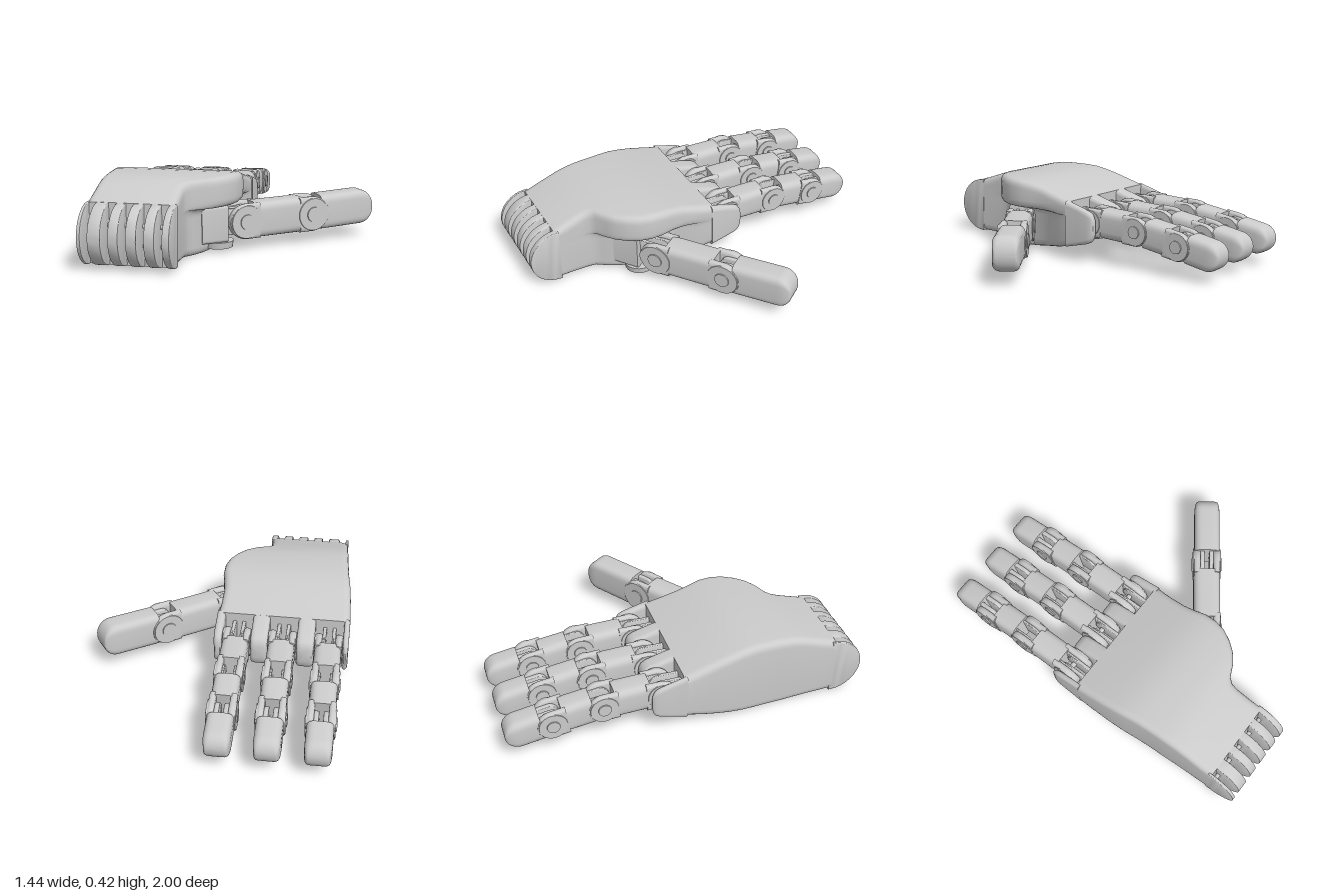
import * as THREE from 'three';
import { toCreasedNormals } from 'three/addons/utils/BufferGeometryUtils.js';

const grey = new THREE.MeshStandardMaterial({ color: 0xcccccc });

function add(parent, name, geometry) {
  const mesh = new THREE.Mesh(geometry, grey);
  mesh.name = name;
  parent.add(mesh);
  return mesh;
}

// Closed outline with every corner rounded off, same point count for any size
function rounded(corners, r) {
  const pts = [], n = corners.length, steps = 5;
  const v = corners.map(([x, y]) => new THREE.Vector2(x, y));
  for (let i = 0; i < n; i++) {
    const p = v[i], a = v[(i + n - 1) % n], b = v[(i + 1) % n];
    const towards = q => {
      const d = p.distanceTo(q);
      return d < 1e-6 ? p.clone() : p.clone().lerp(q, Math.min(r, d * 0.48) / d);
    };
    const curve = new THREE.QuadraticBezierCurve(towards(a), p, towards(b));
    pts.push(...curve.getPoints(steps));
  }
  return pts;
}
const rect = (x0, x1, y0, y1, r) => rounded([[x1, y0], [x1, y1], [x0, y1], [x0, y0]], r);

// Skin over sections { z, pts } listed from +z to -z, closed at both ends
function loft(sections) {
  const pos = [], n = sections[0].pts.length;
  const at = (s, j) => [s.pts[j % n].x, s.pts[j % n].y, s.z];
  const tri = (...c) => c.forEach(p => pos.push(...p));
  for (let i = 0; i + 1 < sections.length; i++) {
    for (let j = 0; j < n; j++) {
      const a = at(sections[i], j), b = at(sections[i], j + 1);
      const c = at(sections[i + 1], j + 1), d = at(sections[i + 1], j);
      tri(a, d, c);
      tri(a, c, b);
    }
  }
  for (const s of [sections[0], sections[sections.length - 1]]) {
    const m = s.pts.reduce((t, p) => t.add(p), new THREE.Vector2()).divideScalar(n);
    const mid = [m.x, m.y, s.z];
    for (let j = 0; j < n; j++) {
      if (s === sections[0]) tri(mid, at(s, j), at(s, j + 1));
      else tri(mid, at(s, j + 1), at(s, j));
    }
  }
  const g = new THREE.BufferGeometry();
  g.setAttribute('position', new THREE.Float32BufferAttribute(pos, 3));
  return toCreasedNormals(g, 0.7);
}

// Bar along z with half height h; capA and capB are the lengths of its rounded ends
function beam(x0, x1, zA, zB, h, { capA = 0, capB = 0, r = 0.02, inset = 0 } = {}) {
  const rows = [], steps = 8;
  const row = (z, s) => {
    const k = inset * (1 - s);
    rows.push({ z, pts: rect(x0 + k, x1 - k, -h * s, h * s, r * Math.max(s, 0.15)) });
  };
  const arc = t => [Math.cos(t * Math.PI / 2), Math.max(Math.sin(t * Math.PI / 2), 0.02)];
  if (capA) for (let i = 0; i < steps; i++) { const [c, s] = arc(i / steps); row(zA - capA * (1 - c), s); }
  row(zA - capA, 1);
  row(zB + capB, 1);
  if (capB) for (let i = steps - 1; i >= 0; i--) { const [c, s] = arc(i / steps); row(zB + capB * (1 - c), s); }
  return loft(rows);
}

// Round hinge with raised caps, lying across the finger
function hinge(parent, z, w, h) {
  for (const side of [-1, 1]) {
    for (const [r, reach] of [[h * 0.98, 0.004], [h * 0.45, 0.01]]) {
      const disc = add(parent, 'hingeCap', new THREE.CylinderGeometry(r * 0.94, r, 0.02, 28));
      disc.rotation.z = -side * Math.PI / 2;
      disc.position.set(side * (w + reach - 0.01), 0, z);
    }
  }
}

// One finger bone, from its joint at z = 0 to the next one at z = -length
function bone(length, w, h, { first, last, gap }) {
  const g = new THREE.Group();
  g.name = last ? 'fingertip' : 'fingerBone';
  const width = first ? w : w - 0.003;
  add(g, 'boneBody', beam(-width, width, -0.055, last ? -length : -(length - 0.06), h,
    { r: 0.045, capB: last ? 0.075 : 0, inset: 0.022 }));
  for (const s of [-1, 1]) {
    const strip = (name, a, b, zA, zB, hh, opt) =>
      add(g, name, beam(Math.min(s * a, s * b), Math.max(s * a, s * b), zA, zB, hh, opt));
    strip('innerLug', gap, 0.037, 0.055, -0.07, h * 0.8, { capA: 0.05, r: 0.008 });
    if (first) strip('rearCheek', 0.036, w, h, -0.08, h, { capA: h });
    if (!last) strip('frontCheek', 0.036, w, -(length - 0.08), -(length + h), h, { capB: h });
  }
  if (first) hinge(g, 0, w, h);
  if (!last) hinge(g, -length, w, h);
  return g;
}

// Chain of bones; each entry is [length, pitch, half window width]
function digit(name, w, h, bones) {
  const root = new THREE.Group();
  root.name = name;
  let parent = root, offset = 0;
  bones.forEach(([length, pitch, gap], i) => {
    const b = bone(length, w, h, { first: i === 0, last: i === bones.length - 1, gap });
    b.position.z = -offset;
    b.rotation.x = pitch;
    parent.add(b);
    parent = b;
    offset = length;
  });
  // pin and bracket holding the first joint
  const pin = add(root, 'knucklePin', new THREE.CylinderGeometry(0.014, 0.014, w * 2, 16));
  pin.rotation.z = Math.PI / 2;
  for (const s of [-1, 1]) {
    const x = s * 0.026;
    add(root, 'knuckleBracket', beam(x - 0.01, x + 0.01, 0.13, -0.05, h * 0.75, { capB: 0.05, r: 0.006 }));
  }
  return root;
}

// Palm stations: z, left edge, lower right edge, upper right edge, bottom, top
const stations = [
  [0.52, -0.295, 0.172, 0.172, 0.01, 0.33], [0.45, -0.298, 0.168, 0.168, 0.008, 0.355],
  [0.36, -0.3, 0.165, 0.165, 0.006, 0.385], [0.32, -0.302, 0.166, 0.17, 0.005, 0.398],
  [0.29, -0.303, 0.17, 0.195, 0.005, 0.405], [0.26, -0.305, 0.19, 0.26, 0.004, 0.411],
  [0.22, -0.307, 0.215, 0.312, 0.003, 0.416], [0.17, -0.309, 0.24, 0.352, 0.003, 0.419],
  [0.11, -0.312, 0.26, 0.384, 0.003, 0.42], [0.05, -0.316, 0.27, 0.398, 0.003, 0.42],
  [-0.02, -0.325, 0.28, 0.398, 0.01, 0.415], [-0.08, -0.331, 0.285, 0.385, 0.019, 0.404],
  [-0.15, -0.336, 0.31, 0.376, 0.032, 0.388], [-0.25, -0.341, 0.365, 0.378, 0.055, 0.36],
  [-0.345, -0.343, 0.385, 0.385, 0.08, 0.333],
];

export function createModel() {
  const model = new THREE.Group();
  const hand = new THREE.Group();
  hand.name = 'hand';
  hand.position.set(-0.28, 0, 0.3);
  hand.rotation.y = 0.105;
  model.add(hand);

  // Palm, with the upper edge overhanging the thumb
  const step = 0.255;
  add(hand, 'palm', loft(stations.map(([z, l, low, up, y0, y1]) => ({
    z,
    pts: rounded([[low, y0], [low, step], [up, step], [up, y1], [l, y1], [l, y0]], 0.045),
  }))));

  // Webs between the finger slots
  for (const [a, b] of [[-0.343, -0.311], [-0.158, -0.062], [0.092, 0.187], [0.34, 0.388]]) {
    const rows = [[-0.33, 0.076, 0.337, 0], [-0.42, 0.098, 0.312, 0], [-0.475, 0.112, 0.296, 0],
      [-0.5, 0.125, 0.283, 0.003], [-0.513, 0.145, 0.262, 0.008], [-0.518, 0.17, 0.24, 0.012]];
    add(hand, 'fingerWeb', loft(rows.map(([z, y0, y1, k]) => ({ z, pts: rect(a + k, b - k, y0, y1, 0.025) }))));
  }

  // Rounded ribs at the wrist, joined by two thin rods
  for (const [a, b] of [[-0.295, -0.278], [-0.24, -0.175], [-0.135, -0.085],
    [-0.045, 0.007], [0.047, 0.098], [0.138, 0.173]]) {
    const rib = add(hand, 'wristRib', beam(a, b, 0.672, 0.5, 0.16, { capA: 0.16, r: 0.008 }));
    rib.position.y = 0.17;
  }
  for (const y of [0.12, 0.22]) {
    const rod = add(hand, 'wristRod', new THREE.CylinderGeometry(0.012, 0.012, 0.45, 12));
    rod.rotation.z = Math.PI / 2;
    rod.position.set(-0.06, y, 0.535);
  }

  // Three fingers, curling slightly downwards
  for (const x of [-0.235, 0.015, 0.263]) {
    const finger = digit('finger', 0.072, 0.08, [[0.305, -0.035, 0.024], [0.27, -0.11, 0.024], [0.247, -0.03, 0.011]]);
    finger.position.set(x, 0.225, -0.458);
    hand.add(finger);
  }

  // Thumb with its mounting block under the overhang
  const thumb = digit('thumb', 0.075, 0.096, [[0.4, 0.015, 0.02], [0.385, 0.02, 0.014]]);
  thumb.position.set(0.11, 0.155, 0.255);
  thumb.rotation.y = -0.835;
  add(thumb, 'thumbMount', beam(-0.075, 0.075, 0.26, 0.11, 0.1, { r: 0.02 }));
  const plate = add(thumb, 'thumbPlate', new THREE.CylinderGeometry(0.085, 0.08, 0.035, 28));
  plate.position.set(0, -0.115, 0.14);
  model.add(thumb);

  return model;
}
